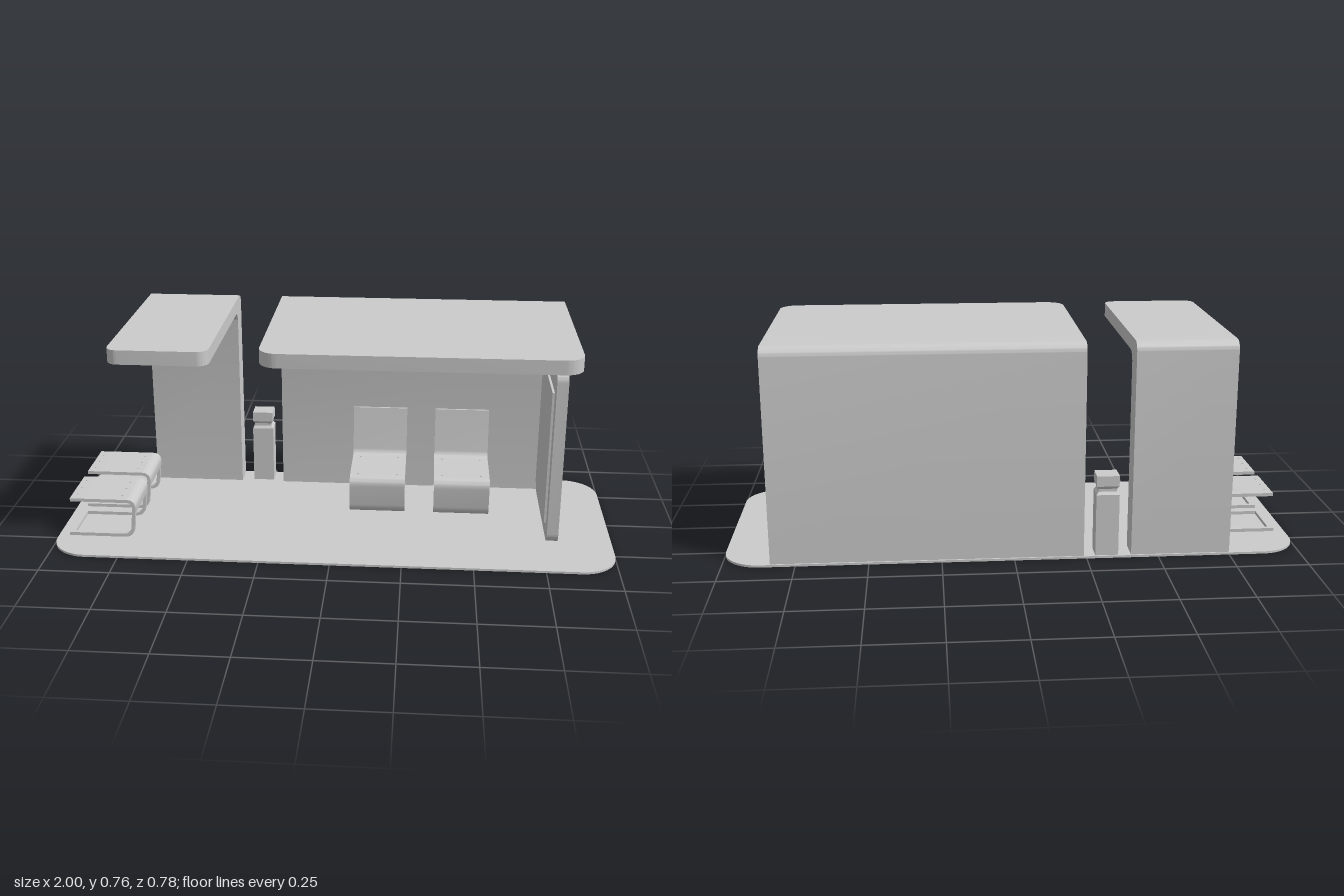
import * as THREE from 'three';
import { toCreasedNormals } from 'three/addons/utils/BufferGeometryUtils.js';

const grey = new THREE.MeshStandardMaterial({ color: 0xcccccc });

function add(parent, name, geometry, x = 0, y = 0, z = 0) {
  const mesh = new THREE.Mesh(geometry, grey);
  mesh.name = name;
  mesh.position.set(x, y, z);
  parent.add(mesh);
  return mesh;
}

const extrude = (shape, depth) => toCreasedNormals(
  new THREE.ExtrudeGeometry(shape, { depth, bevelEnabled: false, curveSegments: 8 }), 0.6);

// Rectangle with separate radii for its lower and upper corners
function roundedRect(x0, y0, x1, y1, low, high = low) {
  const s = new THREE.Shape();
  s.moveTo(x0 + low, y0).lineTo(x1 - low, y0);
  if (low) s.absarc(x1 - low, y0 + low, low, -Math.PI / 2, 0);
  s.lineTo(x1, y1 - high);
  if (high) s.absarc(x1 - high, y1 - high, high, 0, Math.PI / 2);
  s.lineTo(x0 + high, y1);
  if (high) s.absarc(x0 + high, y1 - high, high, Math.PI / 2, Math.PI);
  s.lineTo(x0, y0 + low);
  if (low) s.absarc(x0 + low, y0 + low, low, Math.PI, Math.PI * 1.5);
  return s;
}

// Bent sheet: a polyline with rounded corners, thickened and extruded
function bentSheet(corners, radius, thickness, width) {
  const pts = corners.map(([x, y]) => new THREE.Vector2(x, y));
  const path = new THREE.Path();
  path.moveTo(pts[0].x, pts[0].y);
  for (let i = 1; i < pts.length - 1; i++) {
    const p = pts[i];
    const a = pts[i - 1].clone().sub(p).setLength(radius).add(p);
    const b = pts[i + 1].clone().sub(p).setLength(radius).add(p);
    path.lineTo(a.x, a.y);
    path.quadraticCurveTo(p.x, p.y, b.x, b.y);
  }
  const end = pts[pts.length - 1];
  path.lineTo(end.x, end.y);
  const line = path.getPoints(8);
  const side = (sign) => line.map((p, i) => {
    const d = line[Math.min(i + 1, line.length - 1)].clone().sub(line[Math.max(i - 1, 0)]).normalize();
    return new THREE.Vector2(p.x - d.y * sign * thickness / 2, p.y + d.x * sign * thickness / 2);
  });
  return extrude(new THREE.Shape([...side(1), ...side(-1).reverse()]), width);
}

// Canopy: back wall curving into a roof with rounded front corners
function canopy(parent, name, x0, x1, frontRadius) {
  const g = new THREE.Group();
  g.name = name;
  // profile drawn with its horizontal axis pointing to the back
  const p = new THREE.Shape();
  p.moveTo(0.385, 0.008).lineTo(0.385, 0.725);
  p.absarc(0.35, 0.725, 0.035, 0, Math.PI / 2);
  p.lineTo(0.25, 0.76).lineTo(0.25, 0.71);
  p.absarc(0.258, 0.67, 0.04, Math.PI / 2, 0, true);
  p.lineTo(0.298, 0.008);
  add(g, 'backWall', extrude(p, x1 - x0).rotateY(Math.PI / 2), x0);
  const roof = roundedRect(x0, -0.367, x1, 0.25, frontRadius, 0);
  // the roof slab meets the wall piece at z = -0.25
  add(g, 'roof', extrude(roof, 0.05).rotateX(-Math.PI / 2), 0, 0.71);
  parent.add(g);
}

function stool(z) {
  const g = new THREE.Group();
  g.name = 'stool';
  const width = 0.198, bar = 0.018;
  const loop = [[-0.95, 0.15], [-0.715, 0.15], [-0.728, 0.015], [-0.96, 0.015]];
  for (const s of [0, width - bar]) add(g, 'sideFrame', bentSheet(loop, 0.03, 0.012, bar), 0, 0, s);
  const top = [[-0.95, 0.15], [-0.715, 0.15], [-0.72, 0.1]];
  add(g, 'seatPlate', bentSheet(top, 0.03, 0.012, width - 2 * bar), 0, 0, bar);
  add(g, 'footBar', new THREE.BoxGeometry(bar, 0.012, width - 2 * bar), -0.951, 0.015, width / 2);
  for (const x of [-0.93, -0.765]) for (const f of [0.2, 0.5, 0.8])
    add(g, 'rivet', new THREE.CylinderGeometry(0.004, 0.004, 0.002, 8), x, 0.157, f * width);
  g.position.z = z;
  return g;
}

function seat(x) {
  const g = new THREE.Group();
  g.name = 'seat';
  const width = 0.207;
  const profile = [[0.28, 0.015], [0.034, 0.015], [0.022, 0.15], [0.259, 0.15], [0.286, 0.34]];
  add(g, 'seatShell', bentSheet(profile, 0.03, 0.014, width).rotateY(Math.PI / 2));
  for (const z of [-0.06, -0.22]) for (const f of [0.15, 0.85])
    add(g, 'rivet', new THREE.CylinderGeometry(0.004, 0.004, 0.002, 8), f * width, 0.158, z);
  g.position.x = x;
  return g;
}

export function createModel() {
  const model = new THREE.Group();
  model.name = 'busShelter';

  // Ground slab
  add(model, 'groundSlab', extrude(roundedRect(-1, -0.391, 1, 0.391, 0.13), 0.008).rotateX(-Math.PI / 2));

  // Canopies
  canopy(model, 'largeCanopy', -0.24, 0.835, 0.065);
  canopy(model, 'smallCanopy', -0.75, -0.405, 0.04);

  // Hanging side panel with its hangers and inner board
  add(model, 'sidePanel', extrude(roundedRect(-0.25, 0.04, 0.221, 0.68, 0.038), 0.04).rotateY(Math.PI / 2), 0.758);
  for (const z of [0.156, -0.122])
    add(model, 'panelHanger', new THREE.CylinderGeometry(0.016, 0.016, 0.034, 16), 0.778, 0.695, z);
  add(model, 'panelBoard', new THREE.BoxGeometry(0.008, 0.49, 0.37), 0.754, 0.345, 0.015);

  // Seats and stools
  for (const x of [0.044, 0.36]) model.add(seat(x));
  for (const z of [0.044, -0.203]) model.add(stool(z));

  // Oval wall fixtures
  for (const x of [0.487, 0.54, 0.62, 0.673]) {
    const oval = new THREE.CylinderGeometry(1, 1, 1, 24).rotateX(Math.PI / 2);
    add(model, 'wallFixture', oval, x, 0.577, -0.295).scale.set(0.025, 0.034, 0.008);
  }

  // Bollard: square post, narrowed neck and head
  const bollard = new THREE.Group();
  bollard.name = 'bollard';
  const post = [[0.04, 0.008], [0.04, 0.228], [0.032, 0.238], [0.032, 0.248], [0.039, 0.258], [0.039, 0.295], [0, 0.295]];
  const lathe = new THREE.LatheGeometry(post.map(([r, y]) => new THREE.Vector2(r * Math.SQRT2, y)), 4);
  add(bollard, 'post', toCreasedNormals(lathe.rotateY(Math.PI / 4), 0.3));
  bollard.position.set(-0.32, 0, -0.348);
  bollard.scale.z = 0.9;
  model.add(bollard);

  return model;
}
